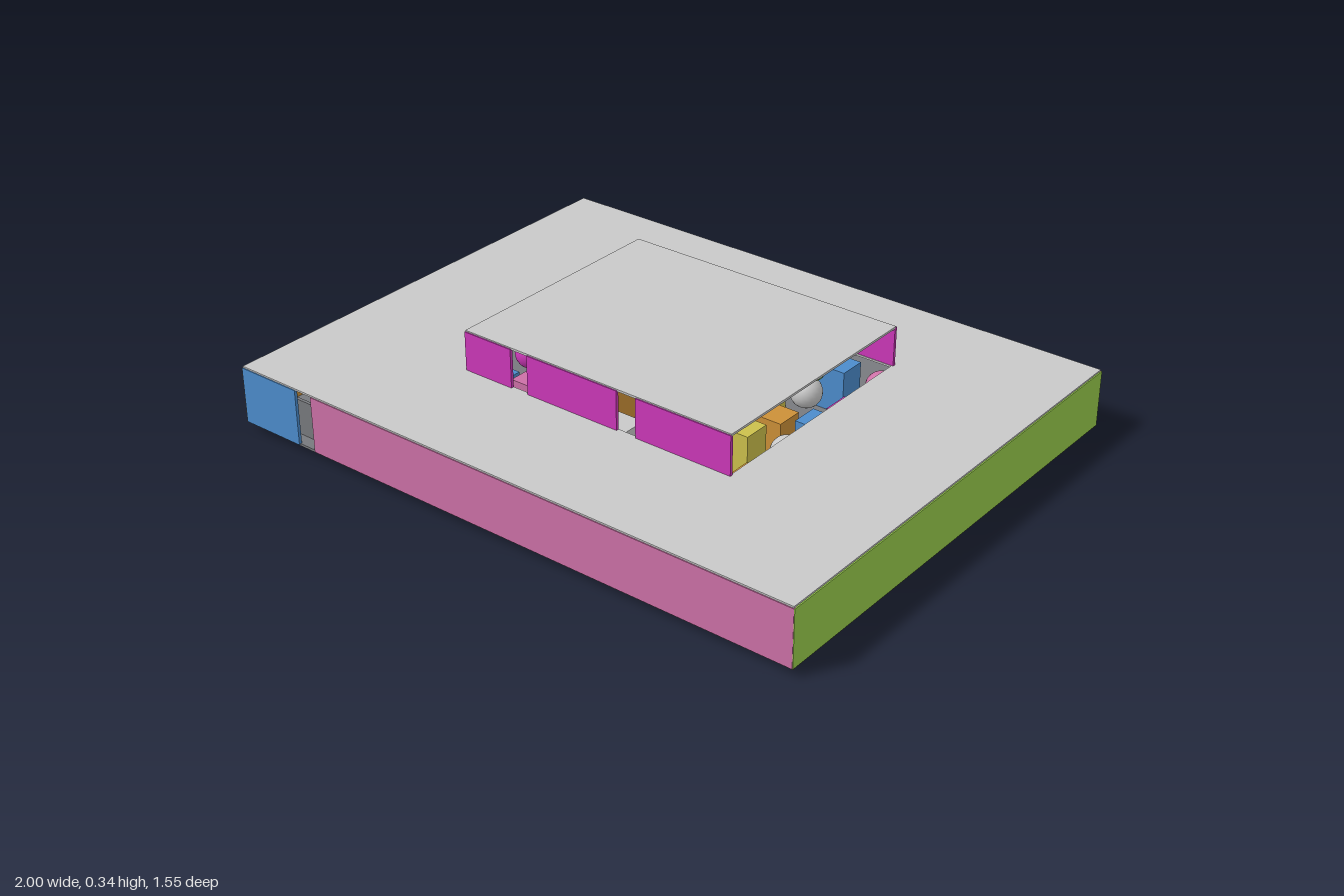
import * as THREE from 'three';

export function createModel() {
  const model = new THREE.Group();
  const paint = (name, color) => {
    const m = new THREE.MeshStandardMaterial({ color });
    m.name = name;
    return m;
  };
  const blue = paint('blue', 0x4c8ccc);
  const pink = paint('pink', 0xcc70a6);
  const green = paint('green', 0x98cc4c);
  const orange = paint('orange', 0xcc9038);
  const magenta = paint('magenta', 0xcc38b8);
  const yellow = paint('yellow', 0xccc04c);
  const lightGrey = paint('light grey', 0xc8c8c8);
  const grey = paint('grey', 0x787a7e);

  const add = (name, geometry, material, parent = model) => {
    const mesh = new THREE.Mesh(geometry, material);
    mesh.name = name;
    parent.add(mesh);
    return mesh;
  };
  // box given by its limits on each axis
  const box = (name, material, x0, x1, y0, y1, z0, z1, parent = model) => {
    const g = new THREE.BoxGeometry(x1 - x0, y1 - y0, z1 - z0);
    g.translate((x0 + x1) / 2, (y0 + y1) / 2, (z0 + z1) / 2);
    return add(name, g, material, parent);
  };

  // floor and the plate beneath it
  box('floor', grey, -0.997, 0.997, 0.02, 0.028, -0.775, 0.77);
  box('entrancePlate', grey, -0.95, -0.51, 0, 0.02, -0.73, -0.465);

  // lower storey walls, with a doorway at the front and at the back
  const y0 = 0.025, y1 = 0.207;
  box('frontWallShort', blue, -0.998, -0.775, y0, y1, 0.765, 0.775);
  box('frontWallLong', pink, -0.71, 0.998, y0, y1, 0.765, 0.775);
  box('backWallShort', yellow, 0.84, 0.998, y0, y1, -0.78, -0.77);
  box('backWallLong', orange, -0.998, 0.77, y0, y1, -0.78, -0.77);
  box('rightWall', green, 0.99, 1, y0, y1, -0.779, 0.774);
  box('leftWall', orange, -1, -0.99, y0, y1, -0.779, 0.774);

  // main roof with an opening under the raised storey
  const outline = new THREE.Shape([[-0.998, -0.778], [0.996, -0.778], [0.996, 0.772], [-0.998, 0.772]]
    .map(([x, z]) => new THREE.Vector2(x, z)));
  outline.holes.push(new THREE.Path([[-0.46, -0.415], [-0.46, 0.37], [0.5, 0.37], [0.5, -0.415]]
    .map(([x, z]) => new THREE.Vector2(x, z))));
  const roof = new THREE.ExtrudeGeometry(outline, { depth: 0.006, bevelEnabled: false });
  roof.rotateX(Math.PI / 2);
  roof.translate(0, 0.212, 0);
  add('mainRoof', roof, lightGrey);

  // raised storey: slotted front and back walls, open ends
  const raised = new THREE.Group();
  raised.name = 'raisedStorey';
  model.add(raised);
  const slottedWall = (name, z0, z1, spans) => spans.forEach(([a, b]) =>
    box(name, magenta, a, b, 0.21, 0.338, z0, z1, raised));
  slottedWall('raisedFrontWall', 0.37, 0.38, [[-0.465, -0.287], [-0.225, 0.107], [0.175, 0.505]]);
  slottedWall('raisedBackWall', -0.427, -0.417, [[-0.465, -0.287], [-0.225, 0.24], [0.31, 0.505]]);
  box('raisedRoof', lightGrey, -0.465, 0.505, 0.335, 0.342, -0.423, 0.376, raised);
  box('backFin', yellow, -0.073, -0.067, 0.215, 0.235, -0.525, -0.42);

  // interior furnishing seen through the opening
  const inside = new THREE.Group();
  inside.name = 'interior';
  model.add(inside);
  box('doorScreen', grey, -0.85, -0.6, 0.028, 0.145, 0.72, 0.73, inside);
  const ball = (name, material, x, y, z, r) =>
    add(name, new THREE.SphereGeometry(r, 20, 14), material, inside).position.set(x, y, z);
  ball('orangeBall', orange, 0.3, 0.228, 0.245, 0.042);
  ball('greenBall', green, 0.34, 0.228, -0.24, 0.042);
  ball('magentaBall', magenta, 0.02, 0.2, -0.17, 0.036);
  box('pinkShelf', pink, -0.4, -0.33, 0.25, 0.27, 0.07, 0.2, inside);
  box('greyShelf', lightGrey, 0.24, 0.3, 0.25, 0.27, -0.2, -0.085, inside);

  // low blocks and domes in alternating colours
  const colours = [yellow, blue, green, lightGrey, pink, orange, magenta];
  for (let i = 0; i < 7; i++) {
    for (let j = 0; j < 6; j++) {
      const x = -0.48 + i * 0.16, z = -0.4 + j * 0.16;
      const material = colours[(i * 3 + j * 2) % colours.length];
      if ((i + j) % 3 === 0) ball('dome', material, x, 0.14, z, 0.05);
      else box('block', material, x - 0.055, x + 0.055, 0.028, 0.11 + 0.03 * ((i + j) % 3), z - 0.045, z + 0.045, inside);
    }
  }
  return model;
}
